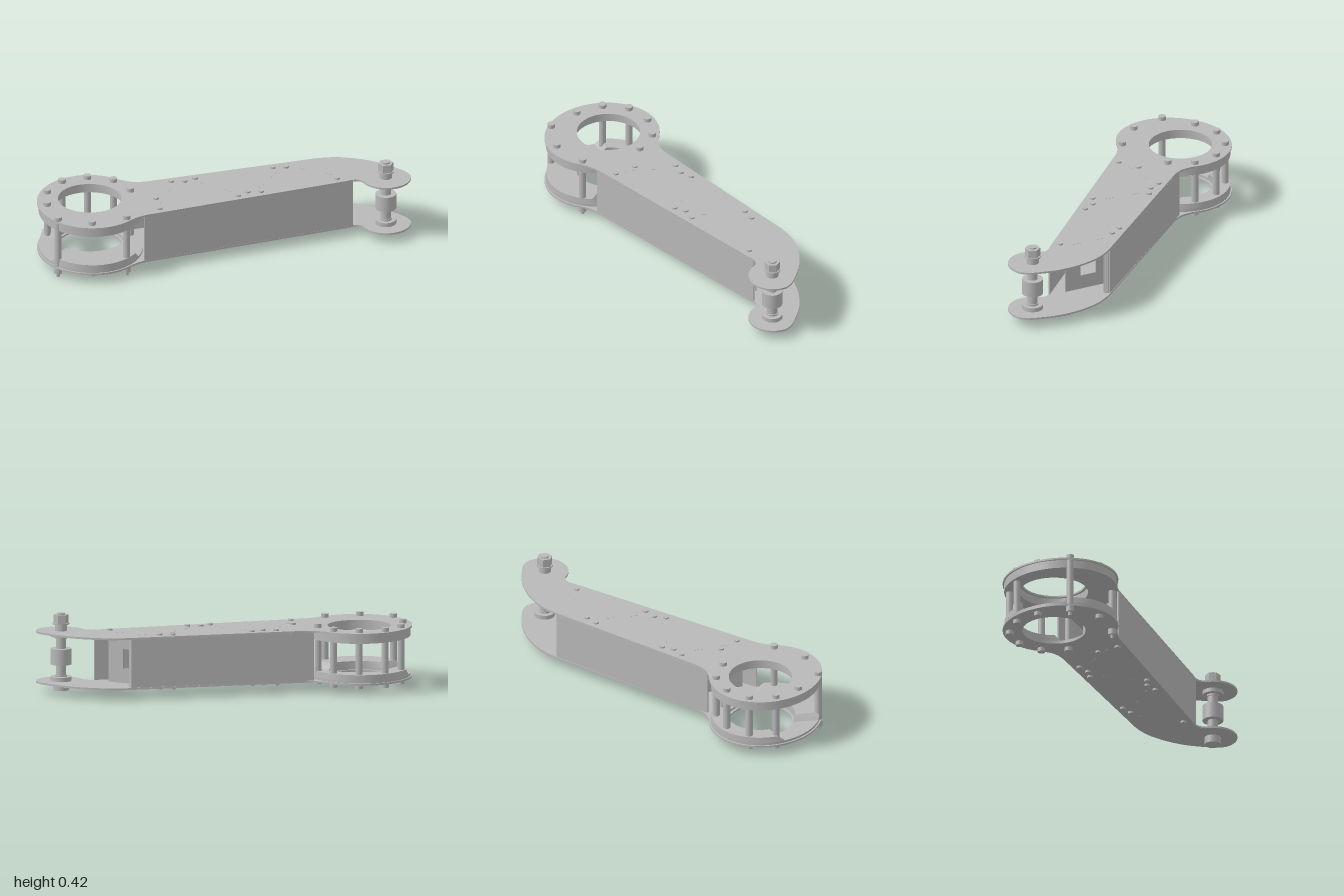
import * as THREE from 'three';
import { toCreasedNormals } from 'three/addons/utils/BufferGeometryUtils.js';

const grey = new THREE.MeshStandardMaterial({ color: 0xb8b8b8 });
grey.name = 'brushedGrey';

const LOW = 0.062, HIGH = 0.32, PLATE = 0.01;
const HOLE = { x: -0.715, z: -0.04 };

export function createModel() {
  const model = new THREE.Group();
  model.name = 'linkArm';

  const add = (name, geometry, parent = model) => {
    const mesh = new THREE.Mesh(geometry, grey);
    mesh.name = name;
    parent.add(mesh);
    return mesh;
  };
  const group = (name) => {
    const g = new THREE.Group();
    g.name = name;
    model.add(g);
    return g;
  };
  // Upright cylinder between two heights
  const post = (name, x, z, r, y0, y1, parent, sides = 24) => {
    const mesh = add(name, new THREE.CylinderGeometry(r, r, y1 - y0, sides), parent);
    mesh.position.set(x, (y0 + y1) / 2, z);
    return mesh;
  };
  // Flat slab from a plan shape drawn in (x, -z)
  const slab = (shape, y, depth) => {
    const g = new THREE.ExtrudeGeometry(shape, { depth, bevelEnabled: false, curveSegments: 40 });
    g.rotateX(-Math.PI / 2).translate(0, y, 0);
    return toCreasedNormals(g, 0.5);
  };
  const vecs = (list) => list.map(([x, y]) => new THREE.Vector2(x, y));

  // Top and bottom plates
  const plan = new THREE.Shape();
  plan.moveTo(-0.37, 0.19);
  plan.lineTo(0.54, 0.315);
  plan.splineThru(vecs([[0.6, 0.315], [0.67, 0.305], [0.77, 0.268], [0.87, 0.205], [0.95, 0.125], [0.985, 0.08], [1, 0.04]]));
  plan.absarc(0.87, 0.04, 0.13, 0, -2.9, true);
  plan.splineThru(vecs([[0.725, 0.028], [0.695, 0.034], [0.655, 0.025]]));
  plan.lineTo(-0.45, -0.2);
  plan.splineThru(vecs([[-0.5, -0.22], [-0.54, -0.246]]));
  plan.absellipse(-0.715, 0, 0.283, 0.313, -0.905, 0.81 - 2 * Math.PI, true);
  plan.splineThru(vecs([[-0.47, 0.197], [-0.42, 0.187], [-0.37, 0.19]]));
  const bore = new THREE.Path();
  bore.absarc(HOLE.x, -HOLE.z, 0.167, 0, Math.PI * 2, false);
  plan.holes.push(bore);
  add('topPlate', slab(plan, HIGH, PLATE));
  add('bottomPlate', slab(plan, LOW - PLATE, PLATE));

  // Spacer rings around the big opening; angles run counterclockwise in plan
  const ringSector = (a0, a1) => {
    const pts = [], n = 48;
    for (let i = 0; i <= n; i++) {
      const a = a0 + (a1 - a0) * i / n;
      pts.push([-0.715 + 0.275 * Math.cos(a), 0.305 * Math.sin(a)]);
    }
    for (let i = n; i >= 0; i--) {
      const a = a0 + (a1 - a0) * i / n;
      pts.push([HOLE.x + 0.18 * Math.cos(a), -HOLE.z + 0.18 * Math.sin(a)]);
    }
    return new THREE.Shape(vecs(pts));
  };
  const fullRing = new THREE.Shape();
  fullRing.absellipse(-0.715, 0, 0.275, 0.305, 0, Math.PI * 2, false);
  const ringBore = new THREE.Path();
  ringBore.absarc(HOLE.x, -HOLE.z, 0.18, 0, Math.PI * 2, false);
  fullRing.holes.push(ringBore);
  add('upperRing', slab(fullRing, 0.275, HIGH - 0.275));
  add('lowerRing', slab(fullRing, LOW, 0.013));

  // Raised blocks on the lower ring, with ends that slope inwards
  const raised = (name, a0, a1) => {
    const g = slab(ringSector(a0, a1), 0.075, 0.032);
    const p = g.attributes.position, mid = (a0 + a1) / 2;
    for (let i = 0; i < p.count; i++) {
      if (p.getY(i) < 0.09) continue;
      const dx = p.getX(i) + 0.715, dz = p.getZ(i);
      let d = Math.atan2(-dz, dx) - mid;
      d = Math.atan2(Math.sin(d), Math.cos(d));
      const turn = 0.12 * d;
      p.setX(i, -0.715 + dx * Math.cos(turn) - dz * Math.sin(turn));
      p.setZ(i, dx * Math.sin(turn) + dz * Math.cos(turn));
    }
    add(name, toCreasedNormals(g, 0.5));
  };
  raised('lowerRingFrontBlock', -2.6, -0.6);
  raised('lowerRingBackBlock', 0.4, 2.75);

  // Upright sheet between two plan points, optionally with an octagonal cutout
  const sheet = (name, x1, z1, x2, z2, cutout = false, thick = 0.008) => {
    const len = Math.hypot(x2 - x1, z2 - z1), h = HIGH - LOW;
    const s = new THREE.Shape(vecs([[-len / 2, -h / 2], [len / 2, -h / 2], [len / 2, h / 2], [-len / 2, h / 2]]));
    if (cutout) {
      const w = 0.075, t = 0.052, c = 0.024;
      s.holes.push(new THREE.Path(vecs([[-w, -t + c], [-w, t - c], [-w + c, t], [w - c, t],
        [w, t - c], [w, -t + c], [w - c, -t], [-w + c, -t]])));
    }
    const g = new THREE.ExtrudeGeometry(s, { depth: thick, bevelEnabled: false });
    g.translate(0, 0, -thick / 2);
    const mesh = add(name, g);
    mesh.position.set((x1 + x2) / 2, (LOW + HIGH) / 2, (z1 + z2) / 2);
    mesh.rotation.y = Math.atan2(z1 - z2, x2 - x1);
    return mesh;
  };
  sheet('frontWall', -0.46, 0.197, 0.69, -0.037);
  sheet('backWall', -0.46, -0.175, 0.52, -0.305);
  sheet('backWallLip', 0.52, -0.303, 0.527, -0.275);

  // Zigzag ribs, each with small tabs showing through the plates
  const ribs = [[-0.4, 0.15, -0.24, -0.15], [-0.15, -0.16, 0.07, 0.025],
    [0.15, 0.025, 0.33, -0.22], [0.4, -0.245, 0.62, -0.095]];
  for (const [x1, z1, x2, z2] of ribs) {
    const rib = sheet('rib', x1, z1, x2, z2, true);
    for (const along of [-0.07, 0.07])
      add('ribTab', new THREE.BoxGeometry(0.05, HIGH - LOW + 2 * PLATE + 0.002, 0.008), rib).position.x = along;
  }

  // Bolts and rods around the big opening: x, z, has rod, has long end
  const ringBolts = [[-0.83, -0.245, 1, 0], [-0.69, -0.27, 1, 0], [-0.56, -0.215, 1, 0],
    [-0.925, -0.14, 1, 0], [-0.95, 0.005, 0, 0], [-0.92, 0.187, 1, 1], [-0.75, 0.262, 0, 0],
    [-0.56, 0.225, 1, 1], [-0.49, -0.09, 1, 0]];
  const ringHardware = group('ringHardware');
  for (const [x, z, rod, long] of ringBolts) {
    post('boltHead', x, z, 0.02, 0.33, 0.351, ringHardware);
    if (rod) post('spacerRod', x, z, 0.019, LOW, HIGH, ringHardware);
    if (long) {
      post('nut', x, z, 0.022, 0.02, 0.052, ringHardware);
      post('boltEnd', x, z, 0.01, 0, 0.02, ringHardware);
    } else post('nut', x, z, 0.02, 0.03, 0.052, ringHardware);
  }

  // Small bolts along the arm, on both plates
  const armBolts = [[-0.37, 0.02], [-0.37, 0.14], [-0.26, -0.165], [-0.19, -0.155], [-0.13, -0.18],
    [0.065, 0.053], [0.12, 0.02], [0.19, 0.027], [0.295, -0.24], [0.365, -0.235], [0.61, -0.06]];
  const armHardware = group('armHardware');
  for (const [x, z] of armBolts) {
    post('smallBoltTop', x, z, 0.015, 0.33, 0.339, armHardware);
    post('smallBoltBottom', x, z, 0.015, 0.04, 0.052, armHardware);
  }

  // Pivot pin with its roller, collars, washer and nut: name, radius, bottom, top, sides
  const pivot = group('pivotPin');
  const stack = [['pinHead', 0.043, 0.012, 0.052, 32], ['lowerCollar', 0.055, LOW, 0.085, 32],
    ['lowerStep', 0.032, 0.085, 0.094, 32], ['pinShaft', 0.027, 0.085, 0.3, 32],
    ['roller', 0.055, 0.15, 0.235, 40], ['upperStep', 0.032, 0.288, 0.298, 32],
    ['upperCollar', 0.055, 0.298, HIGH, 32], ['bushing', 0.033, 0.33, 0.364, 32],
    ['washer', 0.044, 0.364, 0.371, 32], ['hexNut', 0.041, 0.371, 0.416, 6], ['pinTip', 0.022, 0.416, 0.424, 24]];
  for (const [name, r, y0, y1, sides] of stack) {
    const mesh = post(name, 0.867, -0.037, r, y0, y1, pivot, sides);
    if (sides === 6) {
      mesh.geometry = toCreasedNormals(mesh.geometry, 0.5);
      mesh.rotation.y = Math.PI / 6;
    }
  }
  return model;
}
